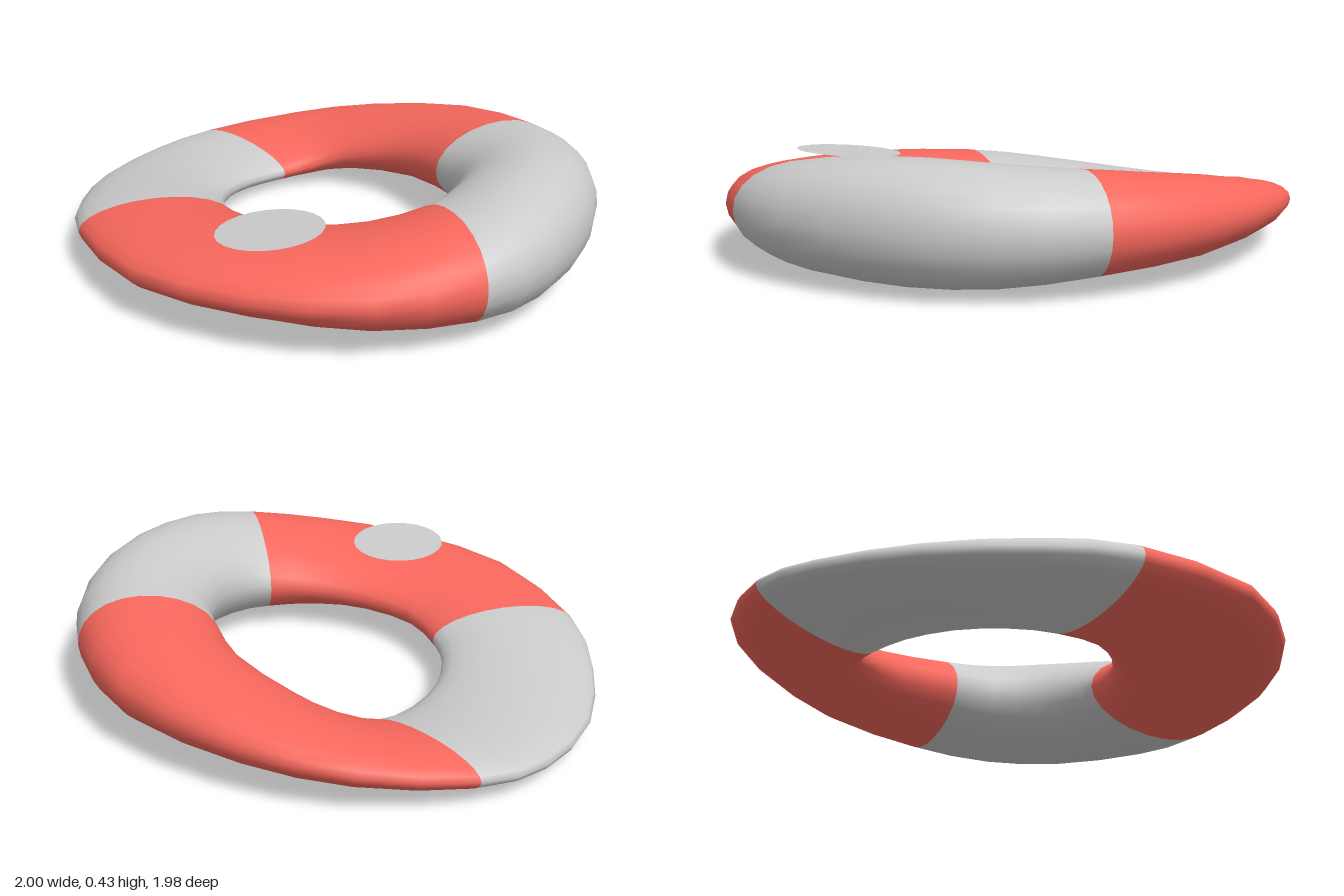
import * as THREE from 'three';

// Cross-sections around the ring:
// outer rim x, y, z, inner rim x, y, z, half thickness
const STATIONS = [
  [0.75, 0.22, -0.60, 0.35, 0.212, -0.29, 0.172],
  [0.945, 0.222, -0.28, 0.455, 0.22, -0.16, 0.195],
  [1.0, 0.225, 0.07, 0.495, 0.225, 0.0, 0.206],
  [0.935, 0.222, 0.46, 0.475, 0.212, 0.135, 0.197],
  [0.775, 0.208, 0.725, 0.41, 0.188, 0.24, 0.174],
  [0.47, 0.192, 0.93, 0.26, 0.168, 0.325, 0.14],
  [0.08, 0.185, 0.99, 0.06, 0.154, 0.35, 0.112],
  [-0.37, 0.165, 0.875, -0.15, 0.142, 0.30, 0.102],
  [-0.75, 0.135, 0.53, -0.31, 0.122, 0.17, 0.098],
  [-0.915, 0.10, 0.22, -0.40, 0.105, 0.03, 0.092],
  [-1.0, 0.072, -0.14, -0.435, 0.088, -0.14, 0.079],
  [-0.955, 0.075, -0.48, -0.41, 0.07, -0.31, 0.07],
  [-0.81, 0.10, -0.72, -0.33, 0.065, -0.45, 0.07],
  [-0.48, 0.145, -0.93, -0.22, 0.092, -0.52, 0.086],
  [-0.08, 0.188, -0.99, -0.09, 0.138, -0.54, 0.11],
  [0.40, 0.215, -0.88, 0.15, 0.185, -0.47, 0.143],
];
const RINGS = 32;
const SIDES = 24;

const closedCurve = (pick) =>
  new THREE.CatmullRomCurve3(STATIONS.map((s) => new THREE.Vector3(...pick(s))), true, 'catmullrom', 0.5);

// Triangle indices for the rings from start to end
function bandIndex(start, end) {
  const index = [];
  for (let i = start; i < end; i++) {
    for (let j = 0; j < SIDES; j++) {
      const i1 = (i + 1) % RINGS, j1 = (j + 1) % SIDES;
      const a = i * SIDES + j, b = i1 * SIDES + j, c = i * SIDES + j1, d = i1 * SIDES + j1;
      index.push(a, c, b, b, c, d);
    }
  }
  return index;
}

// Whole warped ring; thick sections bulge towards the outer rim
function ringGeometry() {
  const outer = closedCurve((s) => [s[0], s[1], s[2]]);
  const inner = closedCurve((s) => [s[3], s[4], s[5]]);
  const thickness = closedCurve((s) => [s[6], 0, 0]);
  const positions = [];
  for (let i = 0; i < RINGS; i++) {
    const t = i / RINGS;
    const o = outer.getPoint(t), n = inner.getPoint(t), h = thickness.getPoint(t).x;
    const centre = o.clone().add(n).multiplyScalar(0.5);
    const half = o.clone().sub(n).multiplyScalar(0.5);
    const bulge = Math.max(0, h - 0.1) * 1.3;
    for (let j = 0; j < SIDES; j++) {
      const a = (j / SIDES) * Math.PI * 2;
      const p = centre.clone().addScaledVector(half, Math.cos(a) + bulge * Math.sin(a) ** 2);
      positions.push(p.x, p.y + h * Math.sin(a), p.z);
    }
  }
  const geometry = new THREE.BufferGeometry();
  geometry.setAttribute('position', new THREE.Float32BufferAttribute(positions, 3));
  geometry.setIndex(bandIndex(0, RINGS));
  geometry.computeVertexNormals();
  return geometry;
}

export function createModel() {
  const model = new THREE.Group();
  model.name = 'swimRing';
  const grey = new THREE.MeshStandardMaterial({ color: 0xcccccc });
  const red = new THREE.MeshStandardMaterial({ color: 0xf9685d });

  // Four alternating bands sharing the ring's smooth normals
  const ring = ringGeometry();
  ['leftBand', 'frontBand', 'rightBand', 'backBand'].forEach((name, k) => {
    const band = ring.clone();
    band.setIndex(bandIndex((k * RINGS) / 4, ((k + 1) * RINGS) / 4));
    const mesh = new THREE.Mesh(band, k % 2 ? red : grey);
    mesh.name = name;
    model.add(mesh);
  });

  // Thin oval patch lying on the front band
  const patchMaterial = new THREE.MeshStandardMaterial({ color: 0xcccccc, side: THREE.DoubleSide });
  const patch = new THREE.Mesh(new THREE.CircleGeometry(1, 24).rotateX(-Math.PI / 2), patchMaterial);
  patch.name = 'valvePatch';
  patch.scale.set(0.178, 1, 0.205);
  patch.position.set(0.037, 0.304, 0.665);
  patch.rotation.set(-0.035, 0, 0.06);
  model.add(patch);

  return model;
}
